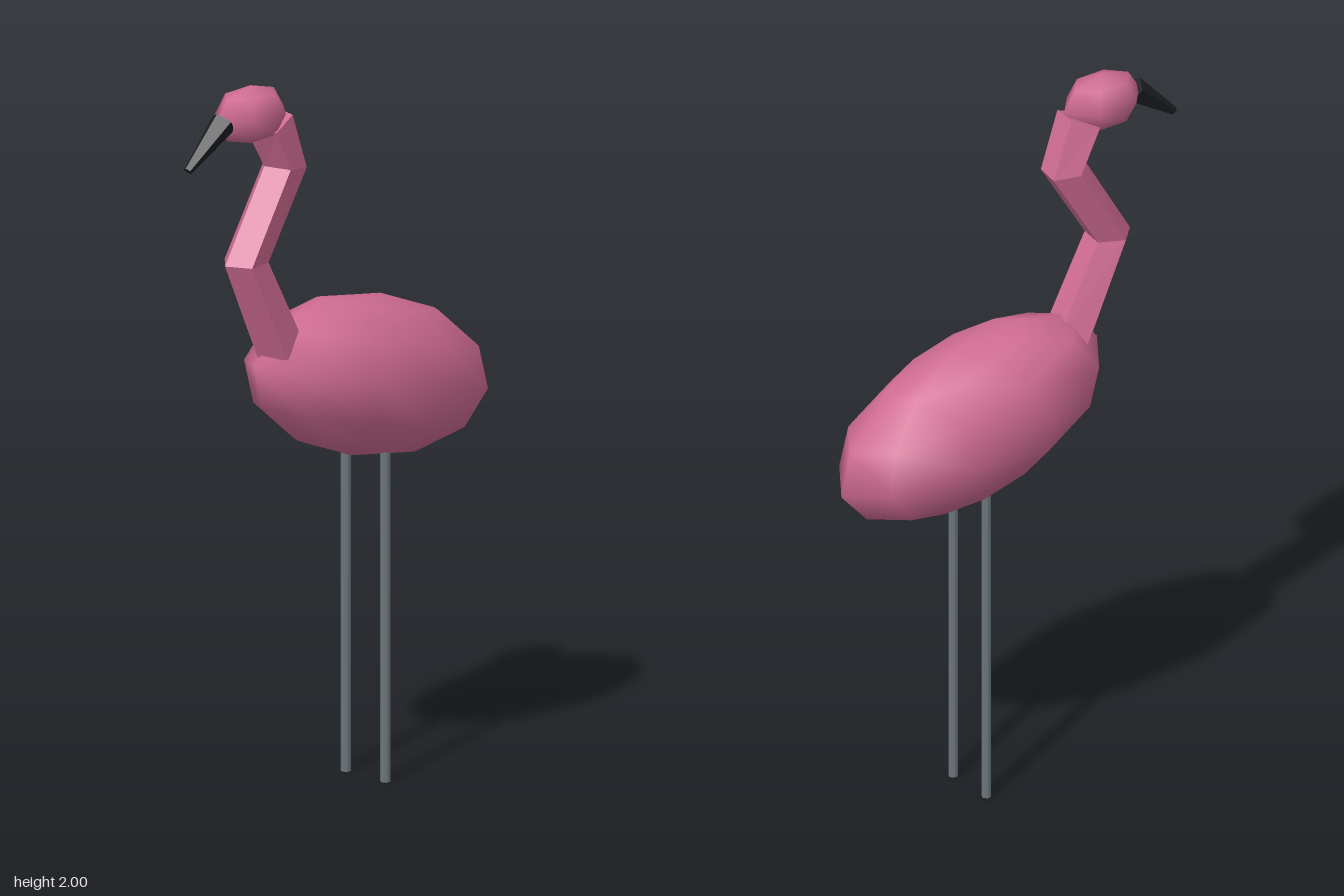
import * as THREE from 'three';

const pink = new THREE.MeshStandardMaterial({ color: 0xd06c92 });
pink.name = 'pink feathers';
const grey = new THREE.MeshStandardMaterial({ color: 0x6e787e });
grey.name = 'grey legs';
const black = new THREE.MeshStandardMaterial({ color: 0x1e1f24 });
black.name = 'black beak';

function part(name, geometry, material) {
  const mesh = new THREE.Mesh(geometry, material);
  mesh.name = name;
  return mesh;
}

// Low-poly ellipsoid with a vertex column facing front and back
function ellipsoid(columns, rows, rx, ry, rz) {
  return new THREE.SphereGeometry(1, columns, rows).rotateY(Math.PI / 2).scale(rx, ry, rz);
}

// Faceted five-sided tube; each ring is { z, y, r, tilt }, tilt leaning its plane front-down
function pentagonTube(rings, twist) {
  const sides = 5, points = [], index = [];
  for (const { z, y, r, tilt } of rings) {
    for (let i = 0; i < sides; i++) {
      const a = twist + (i / sides) * Math.PI * 2;
      const forward = Math.cos(a) * r;
      points.push(Math.sin(a) * r, y - forward * Math.sin(tilt), z + forward * Math.cos(tilt));
    }
  }
  for (let k = 0; k < rings.length - 1; k++) {
    for (let i = 0; i < sides; i++) {
      const a = k * sides + i, b = k * sides + (i + 1) % sides;
      index.push(a, b, b + sides, a, b + sides, a + sides);
    }
  }
  // End caps
  const top = (rings.length - 1) * sides;
  for (let i = 1; i < sides - 1; i++) {
    index.push(0, i + 1, i, top, top + i, top + i + 1);
  }
  const geometry = new THREE.BufferGeometry();
  geometry.setAttribute('position', new THREE.Float32BufferAttribute(points, 3));
  geometry.setIndex(index);
  const faceted = geometry.toNonIndexed();
  faceted.computeVertexNormals();
  return faceted;
}

export function createModel() {
  const model = new THREE.Group();
  model.name = 'wadingBird';

  // Body, chest raised
  const body = part('body', ellipsoid(10, 6, 0.2, 0.22, 0.437), pink);
  body.position.set(0, 1.11, -0.132);
  body.rotation.x = -0.25;
  model.add(body);

  // S-shaped neck
  model.add(part('neck', pentagonTube([
    { z: 0.2, y: 1.25, r: 0.069, tilt: 0.42 },
    { z: 0.33, y: 1.515, r: 0.064, tilt: 0 },
    { z: 0.183, y: 1.753, r: 0.063, tilt: -0.13 },
    { z: 0.24, y: 1.885, r: 0.068, tilt: 0.42 },
  ], -0.157), pink));

  // Head
  const head = part('head', ellipsoid(6, 4, 0.081, 0.08, 0.125), pink);
  head.position.set(0, 1.92, 0.307);
  model.add(head);

  // Beak, running from tip up to base with one ridge on top
  const lean = 2.306;
  model.add(part('beak', pentagonTube([
    { z: 0.545, y: 1.812, r: 0.012, tilt: -(Math.PI - lean) },
    { z: 0.409, y: 1.92, r: 0.037, tilt: -(Math.PI - lean) },
  ], 0), black));

  // Legs
  for (const [name, x] of [['leftLeg', 0.073], ['rightLeg', -0.073]]) {
    const leg = part(name, new THREE.CylinderGeometry(0.014, 0.014, 0.96, 6), grey);
    leg.position.set(x, 0.48, -0.13);
    model.add(leg);
  }

  return model;
}
